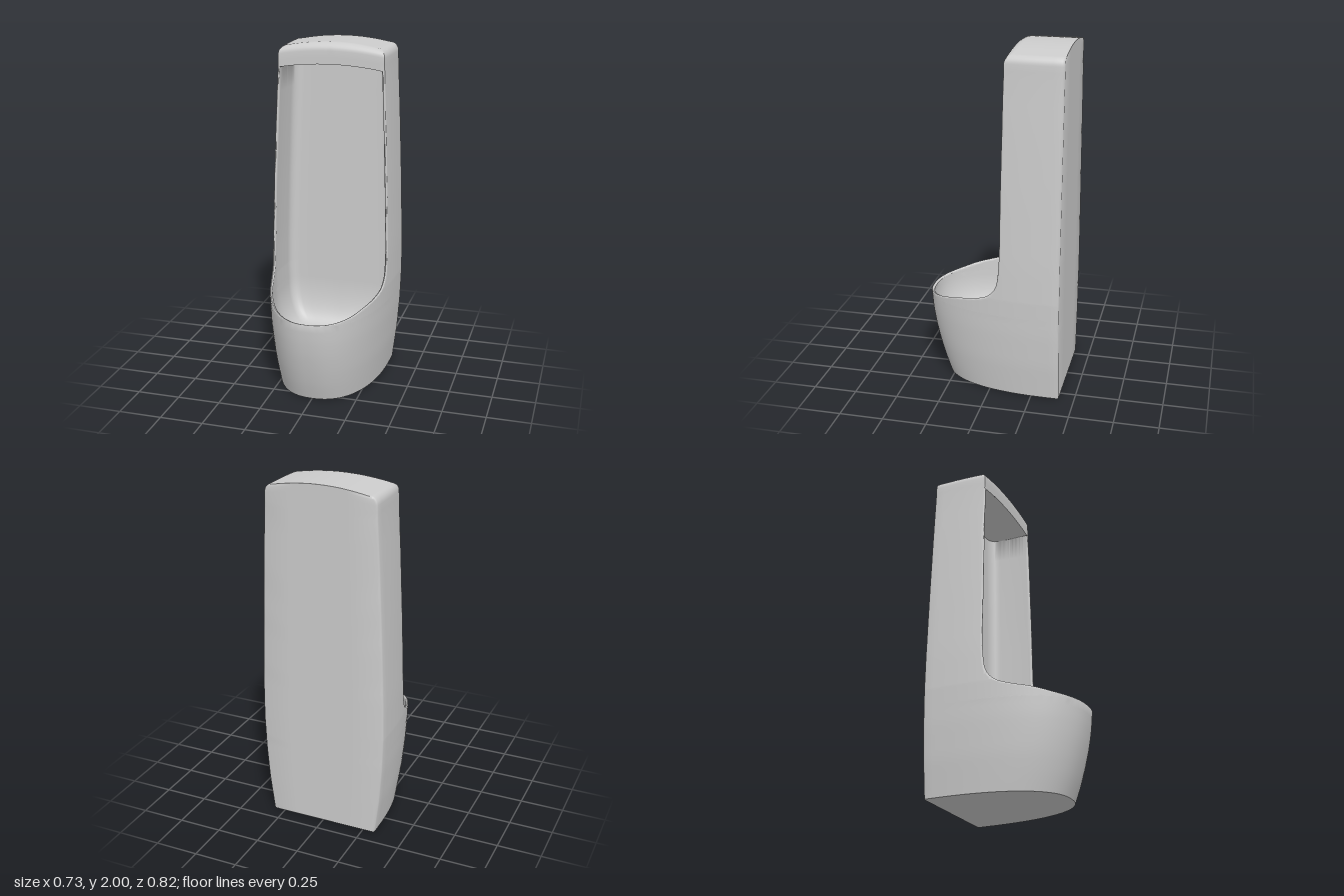
import * as THREE from 'three';
import { toCreasedNormals } from 'three/addons/utils/BufferGeometryUtils.js';

const BACK = -0.41, Z0 = -0.35, P = 2.35, LIP = 0.016;
const HOOD_Y = 1.85, HOOD_Z = -0.085, CROWN = 0.028, DRAIN_Z = -0.09, FLOOR = 0.22;

// Linear interpolation in a list of [key, value]
function table(list, k) {
  if (k <= list[0][0]) return list[0][1];
  for (let i = 1; i < list.length; i++) {
    const [a, va] = list[i - 1], [b, vb] = list[i];
    if (k <= b) return va + ((vb - va) * (k - a)) / (b - a);
  }
  return list[list.length - 1][1];
}
const halfWidth = (y) => table([[0, 0.32], [0.2, 0.345], [0.4, 0.36], [0.6, 0.367], [0.8, 0.365], [1.2, 0.352], [1.6, 0.335], [1.85, 0.322], [2, 0.318]], y);
const frontReach = (y) => table([[0, 0.3], [0.1, 0.335], [0.2, 0.363], [0.3, 0.386], [0.4, 0.402], [0.5, 0.41]], y);

// Point on the rounded plan outline, and the angle at which it reaches a given z
const plan = (w, f, a) => [w * Math.max(0, Math.cos(a)) ** (2 / P), Z0 + (f - Z0) * Math.sin(a) ** (2 / P)];
const angleAt = (z, f) => Math.asin(Math.min(1, ((z - Z0) / (f - Z0)) ** (P / 2)));

// Outside of one half section, from the middle of the back to the rim
function outerRow(y, end) {
  const w = halfWidth(y), f = frontReach(y);
  const row = [[0, y, BACK], [w * 0.5, y, BACK], [w - 0.012, y, BACK], [w - 0.003, y, BACK + 0.004], [w, y, BACK + 0.014]];
  for (let i = 0; i <= 28; i++) {
    const [x, z] = plan(w, f, (end * i) / 28);
    row.push([x, y, z]);
  }
  return row;
}

// Inside of one half section, from the middle of the rear wall to the rim
function innerRow(y, end, s = 1) {
  const w = halfWidth(Math.max(y, 0.5)) - LIP, f = 0.41 - LIP, r = 0.06, wall = -0.335;
  const taper = (x, z) => x * (1 - 0.35 * Math.max(0, HOOD_Z - z));
  const start = angleAt(wall + r, f);
  const [sx, sz] = plan(w, f, start), xe = taper(sx, sz);
  const row = [];
  for (let i = 0; i < 4; i++) row.push([((xe - r) * i) / 4, y, wall]);
  for (let i = 0; i < 6; i++) {
    const a = (i / 6) * Math.PI / 2;
    row.push([xe - r + r * Math.sin(a), y, wall + r - r * Math.cos(a)]);
  }
  for (let i = 0; i <= 26; i++) {
    const [x, z] = plan(w, f, start + ((end - start) * i) / 26);
    row.push([taper(x, z), y, z]);
  }
  return row.map(([x, yy, z]) => [x * s, yy, DRAIN_Z + (z - DRAIN_Z) * s]);
}

// Skins rows of points together with their mirror image
function skin(out, rows, inward) {
  const tri = (a, b, c) => {
    const [A, B, C] = [a, b, c].map((p) => new THREE.Vector3(...p));
    if (B.sub(A).cross(C.sub(A)).length() < 1e-10) return;
    out.push(...a, ...b, ...c);
    for (const p of [a, c, b]) out.push(-p[0], p[1], p[2]);
  };
  for (let i = 0; i + 1 < rows.length; i++) {
    for (let j = 0; j + 1 < rows[i].length; j++) {
      const a = rows[i][j], b = rows[i][j + 1], c = rows[i + 1][j + 1], d = rows[i + 1][j];
      if (inward) { tri(a, b, c); tri(a, c, d); } else { tri(a, d, c); tri(a, c, b); }
    }
  }
}

function buildBody() {
  const out = [];

  // Rim seen from the side, as height and reach
  const profile = new THREE.CatmullRomCurve3([[0.41, 0.5], [0.3, 0.523], [0.2, 0.55], [0.08, 0.575], [0, 0.605], [-0.045, 0.655],
    [-0.065, 0.75], [-0.075, 1.2], [HOOD_Z, HOOD_Y]].map(([z, y]) => new THREE.Vector3(0, y, z)));
  const rim = [];
  for (let i = 0; i <= 60; i++) {
    const p = profile.getPoint((i / 60) ** 1.6);
    rim.push([p.y, i ? angleAt(Math.min(0.41, p.z), 0.41) : Math.PI / 2]);
  }

  // Outer shell with its flat base
  const outer = [outerRow(0, Math.PI / 2).map(([x, y, z]) => [0, y, z])];
  for (let i = 0; i < 12; i++) outer.push(outerRow((0.5 * i) / 12, Math.PI / 2));
  const upper = rim.map(([y, a]) => outerRow(y, a));
  skin(out, [...outer, ...upper]);

  // Bowl, rear wall and ceiling of the recess
  const inner = [innerRow(FLOOR, Math.PI / 2, 0)];
  for (let i = 0; i < 14; i++) {
    const a = (1 - i / 14) * Math.PI / 2;
    inner.push(innerRow(0.5 - (0.5 - FLOOR) * Math.sin(a), Math.PI / 2, 0.5 + 0.5 * Math.cos(a) ** 0.8));
  }
  const recess = rim.map(([y, a]) => innerRow(y, a));
  const top = recess[recess.length - 1];
  const edge = upper[upper.length - 1].at(-1)[0];
  const crown = (x, e = edge) => CROWN * Math.max(0, 1 - (x / e) ** 2);
  const ceiling = [0.06, 0.15, 0.3, 0.5, 0.75, 1].map((k) =>
    top.map(([x, y, z]) => [x, y + crown(x) * Math.sqrt(k), z + (HOOD_Z - z) * k]));
  skin(out, [...inner, ...recess, ...ceiling], true);

  // Rounded lip between outer shell and recess
  skin(out, upper.map((row, i) => {
    const o = row.at(-1), n = recess[i].at(-1);
    const mix = (t) => [0, 1, 2].map((k) => o[k] + (n[k] - o[k]) * t + (k ? 0.006 * Math.sin(Math.PI * t) : 0));
    return [0, 0.2, 0.5, 0.8, 1].map(mix);
  }));

  // Hood with rounded, crowned top
  const hoodRow = (y, inset, blend) => {
    const w = halfWidth(y), base = outerRow(y, angleAt(HOOD_Z, 0.41));
    const xe = base.at(-1)[0];
    for (let i = 1; i <= 12; i++) base.push([xe * (1 - i / 12), y, HOOD_Z]);
    return base.map(([x, yy, z], j) => [
      (x * (w - inset)) / w,
      yy + crown(x, xe) * (j > 30 ? 1 : blend),
      z - (inset * 1.3 * (z - BACK)) / (HOOD_Z - BACK)]);
  };
  const hood = [hoodRow(HOOD_Y, 0, 0), hoodRow(1.89, 0, 0.4), hoodRow(1.925, 0, 1)];
  for (let i = 1; i <= 7; i++) {
    const a = (i / 7) * Math.PI / 2;
    hood.push(hoodRow(1.925 + 0.047 * Math.sin(a), 0.04 * (1 - Math.cos(a)), 1));
  }
  const cap = hood.at(-1), capEdge = cap.at(-13)[0];
  for (let i = 1; i <= 8; i++) {
    const k = 1 - i / 8;
    hood.push(cap.map(([x, , z]) => [x * k, 1.972 + crown(x * k, capEdge), z]));
  }
  skin(out, hood);

  const geo = new THREE.BufferGeometry();
  geo.setAttribute('position', new THREE.Float32BufferAttribute(out, 3));
  return toCreasedNormals(geo, 0.95);
}

// Ring of radial slots cut from a disc
function cutSlots(shape, count, r0, r1, fill) {
  for (let i = 0; i < count; i++) {
    const a = (i / count) * Math.PI * 2, h = (Math.PI / count) * fill;
    const pts = [[r0, -h], [r1, -h], [r1, h], [r0, h]].map(([r, d]) => new THREE.Vector2(r * Math.cos(a + d), r * Math.sin(a + d)));
    shape.holes.push(new THREE.Path(pts));
  }
}

export function createModel() {
  const model = new THREE.Group();
  const material = new THREE.MeshStandardMaterial({ color: 0xcccccc });
  const add = (parent, name, geometry) => {
    const mesh = new THREE.Mesh(geometry, material);
    mesh.name = name;
    parent.add(mesh);
    return mesh;
  };
  add(model, 'basinBody', buildBody());

  // Drain: raised ring around a slotted grate
  const drain = new THREE.Group();
  drain.name = 'drain';
  drain.position.set(0, FLOOR, DRAIN_Z);
  const ring = [[0.118, 0], [0.116, 0.008], [0.108, 0.013], [0.1, 0.012], [0.096, 0.006], [0.096, 0]];
  add(drain, 'drainRing', new THREE.LatheGeometry(ring.map(([x, y]) => new THREE.Vector2(x, y)), 48));
  const disc = new THREE.Shape().absarc(0, 0, 0.098, 0, Math.PI * 2);
  cutSlots(disc, 18, 0.066, 0.088, 0.55);
  cutSlots(disc, 20, 0.022, 0.05, 0.45);
  const grate = new THREE.ExtrudeGeometry(disc, { depth: 0.007, bevelEnabled: false, curveSegments: 40 });
  add(drain, 'drainGrate', grate.rotateX(-Math.PI / 2).translate(0, 0.002, 0));
  model.add(drain);
  drain.children[0].material = new THREE.MeshStandardMaterial({ color: 0xcccccc, side: THREE.DoubleSide });
  return model;
}
